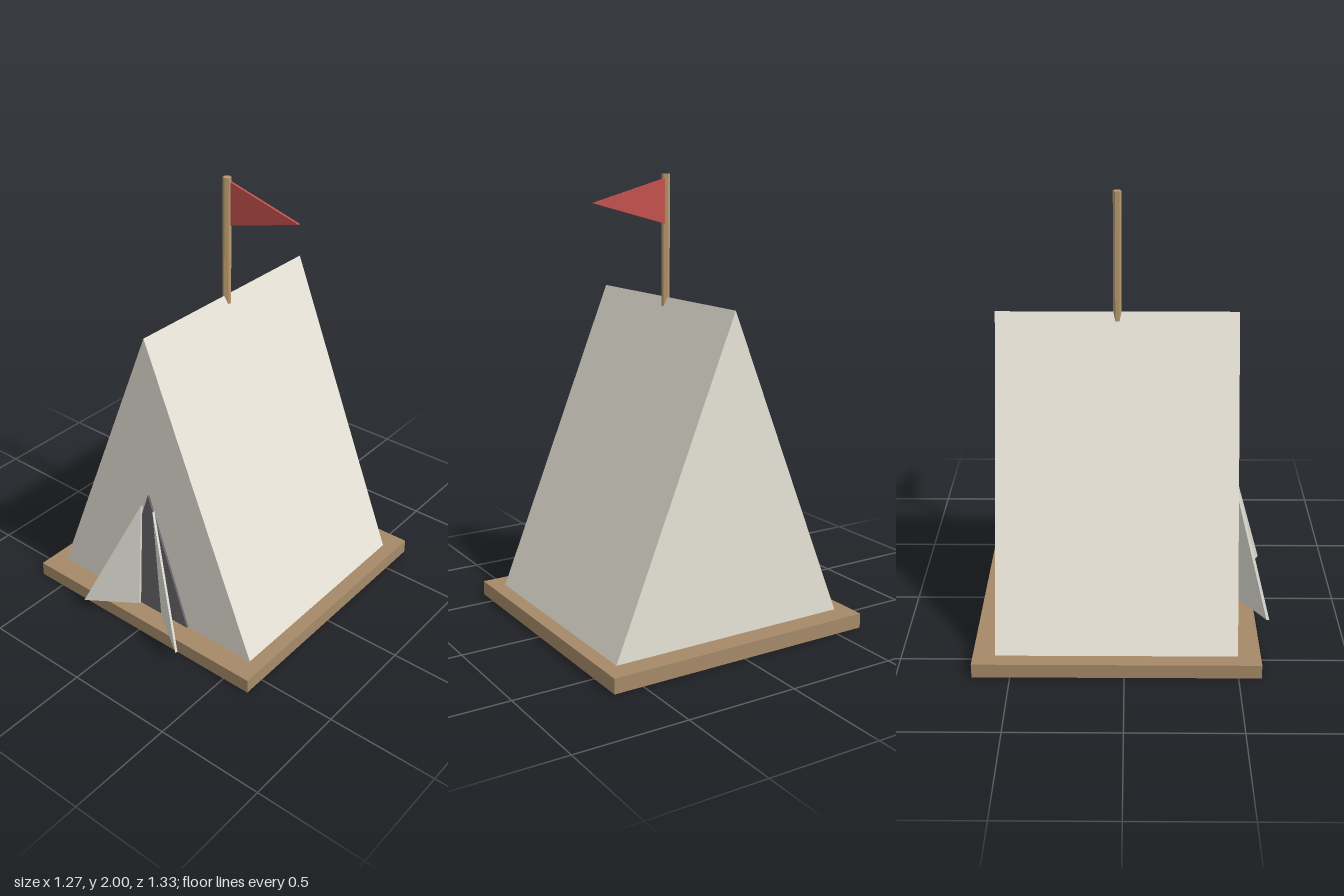
import * as THREE from 'three';

const FLOOR = 0.067;

function part(name, geometry, color) {
  const material = new THREE.MeshStandardMaterial({ color, flatShading: true });
  const mesh = new THREE.Mesh(geometry, material);
  mesh.name = name;
  return mesh;
}

// Triangular slab in the xy plane, running from z to z + depth
function triangle(points, z, depth) {
  const shape = new THREE.Shape(points.map(([x, y]) => new THREE.Vector2(x, y)));
  return new THREE.ExtrudeGeometry(shape, { depth, bevelEnabled: false }).translate(0, 0, z);
}

// Door flap on one side: hinged at its inner edge and swung forward
function flapGeometry(side) {
  const corners = [[0.068, FLOOR], [0.282, FLOOR], [0.035, 0.633]];
  const geometry = triangle(corners.map(([x, y]) => [side * x, y]), 0.508, 0.013);
  const pos = geometry.attributes.position;
  for (let i = 0; i < pos.count; i++) {
    const hingeX = 0.068 - 0.0583 * (pos.getY(i) - FLOOR);
    pos.setZ(i, pos.getZ(i) + 0.68 * (side * pos.getX(i) - hingeX));
  }
  geometry.computeVertexNormals();
  return geometry;
}

export function createModel() {
  const model = new THREE.Group();
  model.name = 'tent';
  const canvas = 0xe8e4d8;

  // Wooden platform
  const base = part('platform', new THREE.BoxGeometry(1.267, FLOOR, 1.267), 0xa58a68);
  base.position.set(0, FLOOR / 2, -0.033);
  model.add(base);

  // Canvas body
  model.add(part('tentBody',
    triangle([[-0.567, FLOOR], [0.567, FLOOR], [0, 1.467]], -0.567, 1.067), canvas));

  // Dark doorway with two open flaps
  model.add(part('doorway',
    triangle([[-0.213, FLOOR], [0.213, FLOOR], [0, 0.7]], 0.497, 0.013), 0x66666c));
  model.add(part('leftFlap', flapGeometry(1), 0xdcdad0));
  model.add(part('rightFlap', flapGeometry(-1), 0xdcdad0));

  // Flagpole and pennant
  const pole = part('flagpole', new THREE.CylinderGeometry(0.0185, 0.0185, 0.6, 6), 0xb8996e);
  pole.position.set(0, 1.7, -0.033);
  model.add(pole);
  model.add(part('pennant',
    triangle([[0.012, 1.787], [0.365, 1.883], [0.012, 1.98]], -0.047, 0.011), 0xc4524e));

  return model;
}
